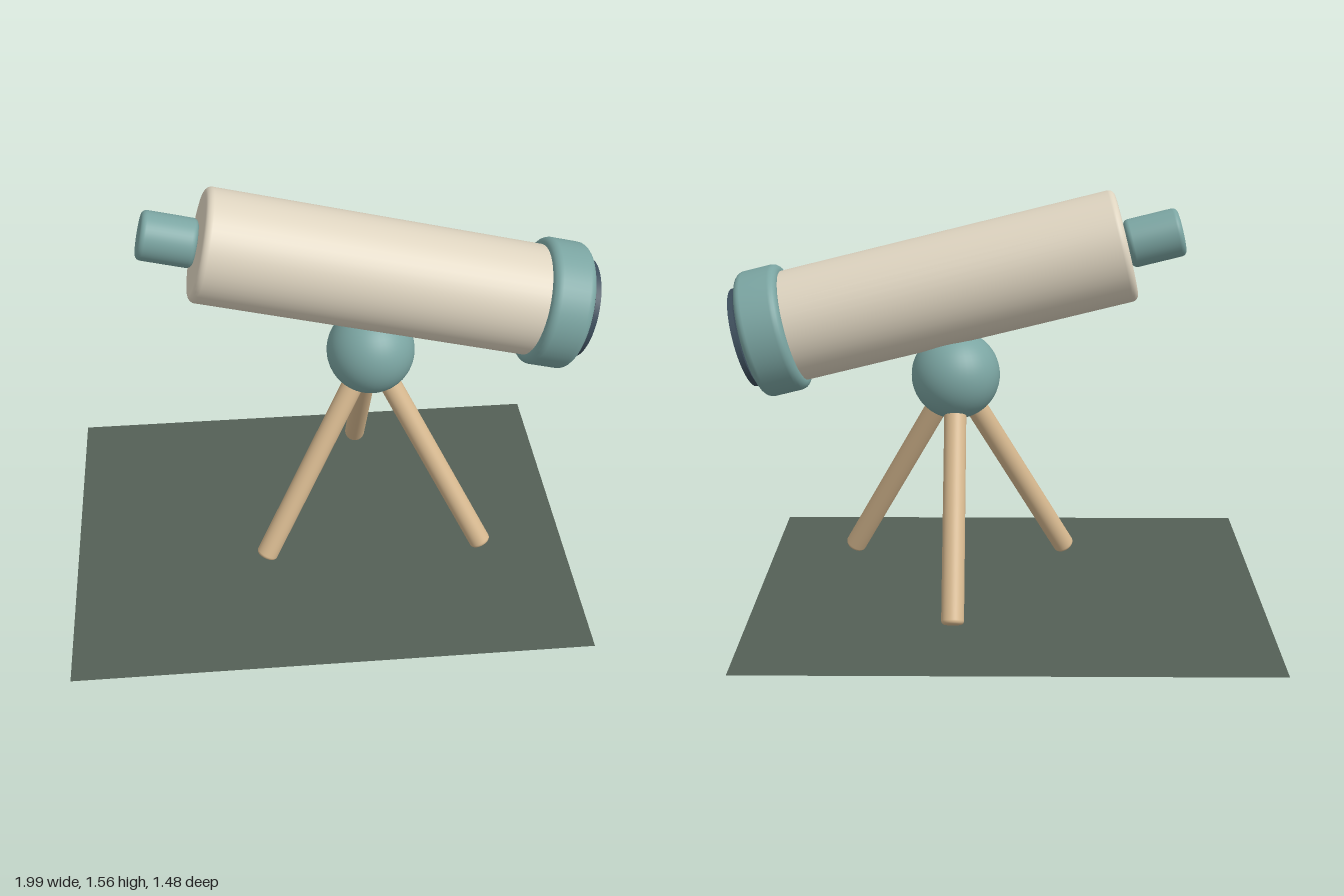
import * as THREE from 'three';

const material = (name, color) => {
  const m = new THREE.MeshStandardMaterial({ color });
  m.name = name;
  return m;
};

// Closed cylinder along y, from y0 to y1, with rounded rims
function roundedCylinder(radius, y0, y1, bevel) {
  const pts = [new THREE.Vector2(0, y0)];
  const steps = 5;
  for (const [y, start] of [[y0 + bevel, -Math.PI / 2], [y1 - bevel, 0]]) {
    for (let i = 0; i <= steps; i++) {
      const a = start + (i / steps) * Math.PI / 2;
      pts.push(new THREE.Vector2(radius - bevel + Math.cos(a) * bevel, y + Math.sin(a) * bevel));
    }
  }
  pts.push(new THREE.Vector2(0, y1));
  return new THREE.LatheGeometry(pts, 48);
}

export function createModel() {
  const model = new THREE.Group();
  model.name = 'telescope';

  const cream = material('cream', 0xded4c0);
  const teal = material('teal', 0x7ba5a2);
  const wood = material('wood', 0xd6b88f);
  const glass = material('dark glass', 0x3d4e5c);
  const ground = material('ground green', 0x546056);
  ground.side = THREE.DoubleSide;

  const add = (parent, name, geometry, mat) => {
    const mesh = new THREE.Mesh(geometry, mat);
    mesh.name = name;
    parent.add(mesh);
    return mesh;
  };

  // Ground sheet
  const sheet = add(model, 'groundSheet', new THREE.PlaneGeometry(1.935, 1.48), ground);
  sheet.rotation.x = -Math.PI / 2;
  sheet.position.set(-0.0325, 0, -0.005);

  // Optical tube, built along y and tilted down towards +x
  const optics = new THREE.Group();
  optics.name = 'opticalTube';
  optics.position.set(-0.46, 1.362, -0.019);
  optics.rotation.z = -THREE.MathUtils.degToRad(104);
  model.add(optics);
  add(optics, 'mainTube', roundedCylinder(0.207, 0, 1.38, 0.025), cream);
  add(optics, 'frontRing', roundedCylinder(0.238, 1.257, 1.42, 0.03), teal);
  add(optics, 'eyepiece', roundedCylinder(0.089, -0.206, -0.004, 0.02), teal);
  add(optics, 'lens', new THREE.CylinderGeometry(0.186, 0.186, 0.02, 48), glass).position.y = 1.442;

  // Ball mount
  const centre = new THREE.Vector3(0.165, 0.87, -0.018);
  add(model, 'ballMount', new THREE.SphereGeometry(0.165, 40, 28), teal).position.copy(centre);

  // Three splayed legs radiating from the ball
  const legGeometry = roundedCylinder(0.041, 0.13, 0.93, 0.014);
  const up = new THREE.Vector3(0, 1, 0);
  for (const degrees of [30, 150, 270]) {
    const a = THREE.MathUtils.degToRad(degrees);
    const foot = new THREE.Vector3(Math.cos(a) * 0.49, -0.79, Math.sin(a) * 0.49).normalize();
    const leg = add(model, 'tripodLeg', legGeometry, wood);
    leg.position.copy(centre);
    leg.quaternion.setFromUnitVectors(up, foot);
  }

  return model;
}
